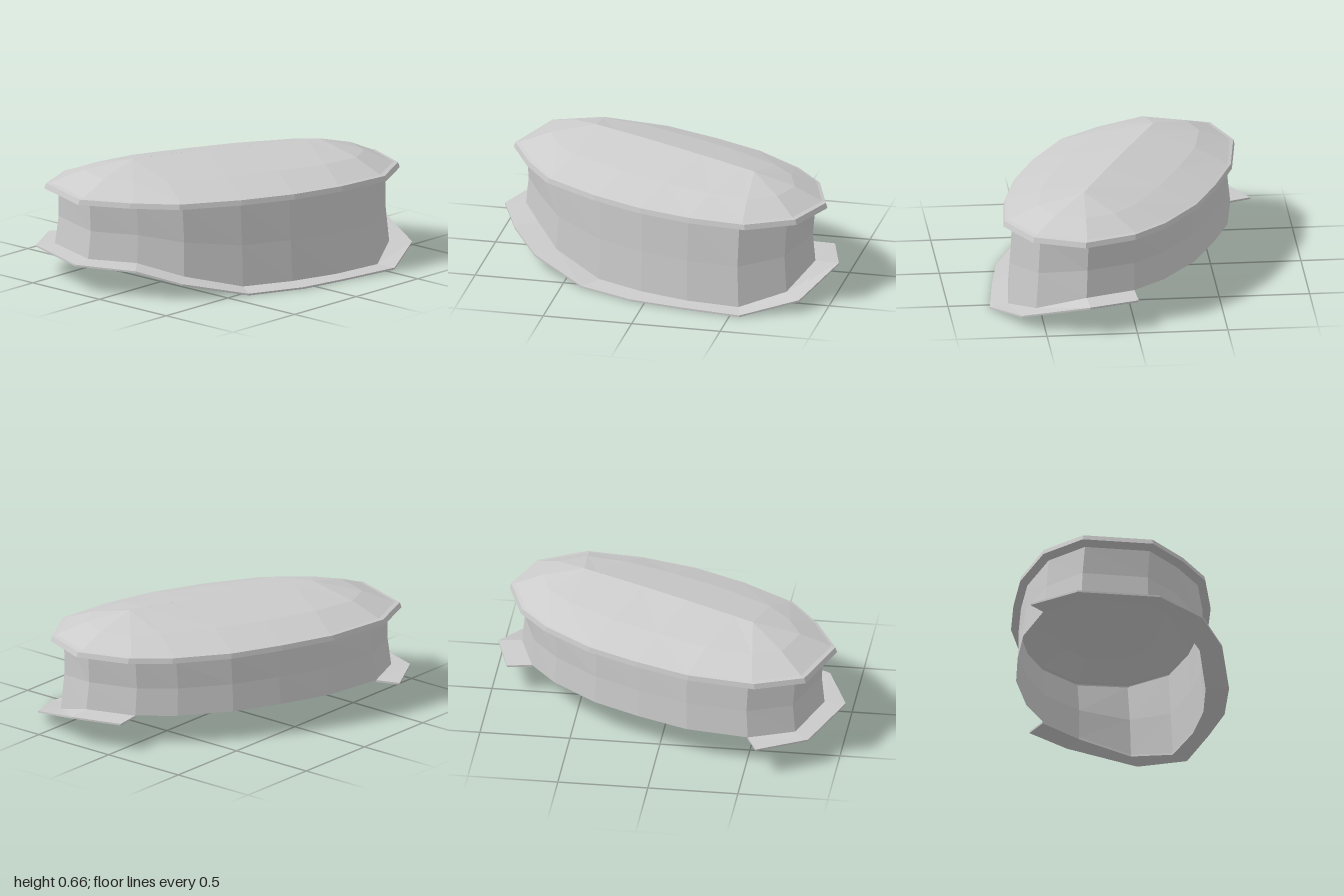
import * as THREE from 'three';

// Lid outline as [x, z], from the back round the left side to the front and back again
const outline = [
  [0.28, -0.94], [0.56, -0.83], [0.70, -0.57], [0.67, -0.25],
  [0.59, 0.05], [0.46, 0.34], [0.27, 0.645], [0.05, 0.81],
  [-0.21, 0.945], [-0.58, 0.82], [-0.685, 0.55], [-0.635, 0.175],
  [-0.52, -0.13], [-0.39, -0.41], [-0.19, -0.68], [-0.005, -0.84],
];
// Height of the lower edge at each outline point
const edgeY = [0.15, 0.06, 0, 0, 0, 0, 0.08, 0.148, 0.15, 0.15, 0.15, 0.15, 0.15, 0.15, 0.15, 0.15];
// Outer edge of the brim as [x, z]; it starts at the last outline point
const brimEdge = [
  [-0.015, -0.915], [0.26, -1.0], [0.625, -0.86], [0.775, -0.555],
  [0.73, -0.21], [0.68, 0.08], [0.55, 0.385], [0.345, 0.70],
  [0.14, 0.86], [-0.19, 0.99], [-0.625, 0.84], [-0.775, 0.57],
];

const material = new THREE.MeshStandardMaterial({ color: 0xcccccc, flatShading: true, side: THREE.DoubleSide });

const V = (x, y, z) => new THREE.Vector3(x, y, z);

// Outline scaled to a ring; y is a number or a function of the index
const ring = (sx, sz, y) =>
  outline.map(([x, z], i) => V(x * sx, typeof y === 'function' ? y(i) : y, z * sz));

// Skin between successive rings of points, with optional flat end caps
function loft(name, rings, closed, capped = false) {
  const pts = [];
  const tri = (a, b, c) => {
    if (new THREE.Triangle(a, b, c).getArea() > 1e-7) pts.push(a, b, c);
  };
  const quad = (a, b, c, d) => { tri(a, b, c); tri(a, c, d); };
  const n = rings[0].length;
  for (let r = 0; r < rings.length - 1; r++) {
    for (let i = 0; i < (closed ? n : n - 1); i++) {
      const j = (i + 1) % n;
      quad(rings[r][i], rings[r + 1][i], rings[r + 1][j], rings[r][j]);
    }
  }
  if (capped) {
    const [a, b, c, d] = rings;
    quad(a[0], d[0], c[0], b[0]);
    quad(a[n - 1], b[n - 1], c[n - 1], d[n - 1]);
  }
  const geometry = new THREE.BufferGeometry().setFromPoints(pts);
  geometry.computeVertexNormals();
  const mesh = new THREE.Mesh(geometry, material);
  mesh.name = name;
  return mesh;
}

export function createModel() {
  const model = new THREE.Group();
  model.name = 'cap';

  // Side band, open below, slightly pinched halfway up
  const wallTop = ring(0.92, 0.922, 0.478);
  const wallBottom = ring(0.96, 0.925, (i) => edgeY[i] + 0.017);
  const wallMiddle = ring(0.935, 0.908, (i) => (edgeY[i] + 0.495) / 2);
  model.add(loft('sideBand', [wallBottom, wallMiddle, wallTop], true));

  // Crown: overhanging rim, then a faceted dome rising to a long ridge
  const axis = new THREE.Line3(V(-0.23, 0.655, 0.48), V(0.25, 0.655, -0.52));
  const rimTop = ring(0.99, 0.99, 0.517);
  const shoulder = ring(0.96, 0.965, 0.522);
  const ridge = shoulder.map((p) => {
    const t = axis.closestPointToPointParameter(p, true);
    const q = axis.at(t, V(0, 0, 0));
    q.y += 0.006 * Math.sin(Math.PI * t);
    return q;
  });
  const slope = shoulder.map((p, i) => {
    const q = p.clone().lerp(ridge[i], 0.4);
    q.y = 0.592;
    return q;
  });
  model.add(loft('crown', [wallTop, ring(1, 1, 0.488), rimTop, shoulder, slope, ridge], true));

  // Brim: a thin strip around the left side that dips with the lower edge
  const order = brimEdge.map((_, k) => (k + 15) % 16);
  const inner = (dy) => order.map((i) => wallBottom[i].clone().add(V(0, dy, 0)));
  const outer = (dy) => brimEdge.map(([x, z], k) => V(x, edgeY[order[k]] + dy, z));
  const under = inner(-0.012);
  model.add(loft('brim', [under, outer(0), outer(0.01), inner(0), under], false, true));

  return model;
}
